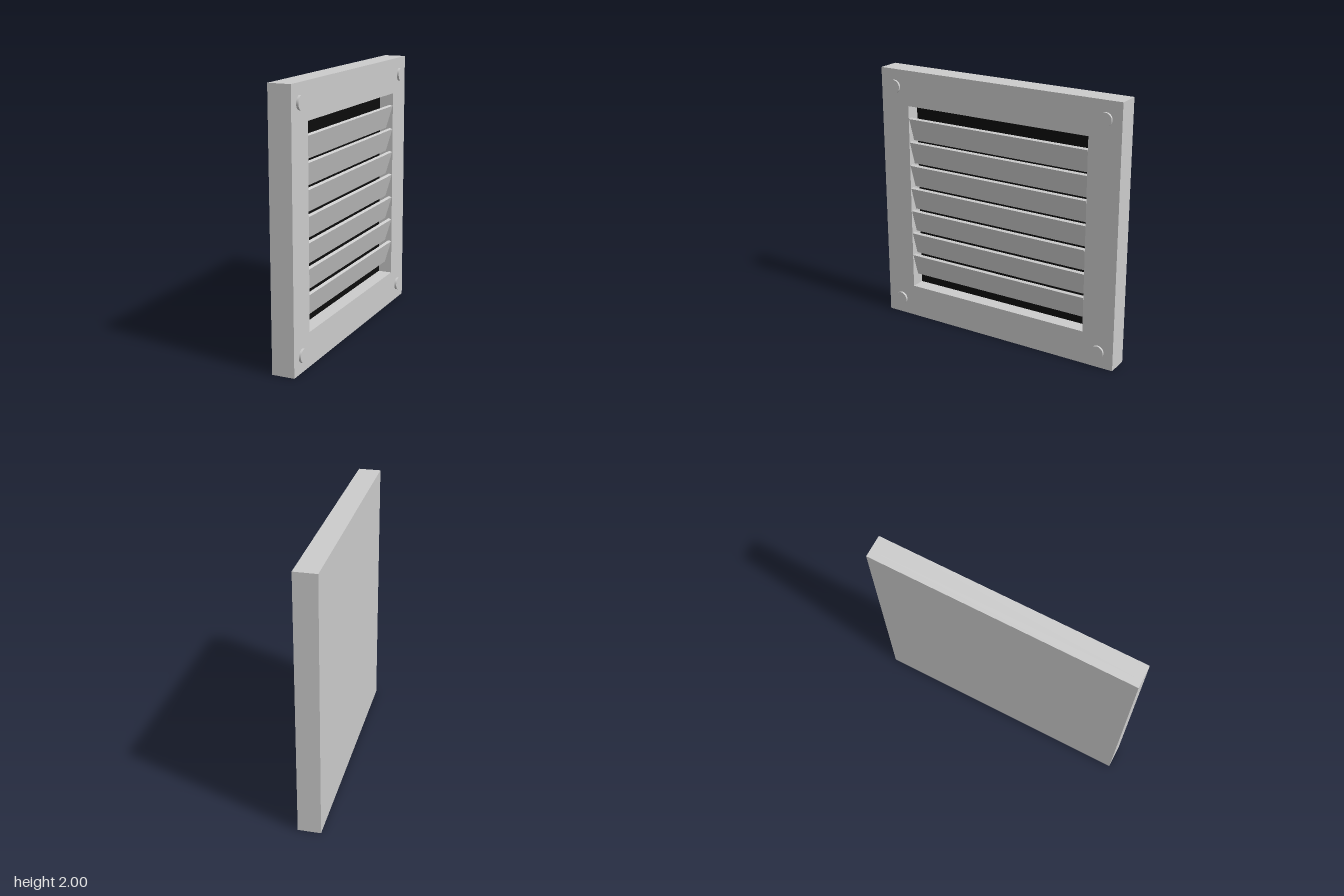
import * as THREE from 'three';

const BACK = -0.095, FRONT = 0.075, RECESS = -0.04;
const OPEN = { z0: -0.75, z1: 0.76, y0: 0.255, y1: 1.73 };

export function createModel() {
  const vent = new THREE.Group();
  vent.name = 'louverVent';
  const grey = new THREE.MeshStandardMaterial({ color: 0xcccccc });
  const black = new THREE.MeshStandardMaterial({ color: 0x0c0c0c });

  const add = (name, geometry, material, x, y, z) => {
    const mesh = new THREE.Mesh(geometry, material);
    mesh.name = name;
    mesh.position.set(x, y, z);
    vent.add(mesh);
    return mesh;
  };

  const openW = OPEN.z1 - OPEN.z0, openH = OPEN.y1 - OPEN.y0;
  const midZ = (OPEN.z0 + OPEN.z1) / 2, midY = (OPEN.y0 + OPEN.y1) / 2;

  // Square surround with the opening, drawn with shape x = -z and extruded towards +x
  const outline = new THREE.Shape([
    new THREE.Vector2(-1, 0), new THREE.Vector2(1, 0),
    new THREE.Vector2(1, 2), new THREE.Vector2(-1, 2),
  ]);
  outline.holes.push(new THREE.Path([
    new THREE.Vector2(-OPEN.z1, OPEN.y0), new THREE.Vector2(-OPEN.z1, OPEN.y1),
    new THREE.Vector2(-OPEN.z0, OPEN.y1), new THREE.Vector2(-OPEN.z0, OPEN.y0),
  ]));
  const frame = new THREE.ExtrudeGeometry(outline, { depth: FRONT - RECESS, bevelEnabled: false });
  frame.rotateY(Math.PI / 2);
  add('frame', frame, grey, RECESS, 0, 0);

  // Solid back and the dark panel seen behind the slats
  add('backPlate', new THREE.BoxGeometry(RECESS - BACK, 2, 2), grey, (BACK + RECESS) / 2, 1, 0);
  add('darkPanel', new THREE.BoxGeometry(0.006, openH, openW), black, RECESS + 0.003, midY, midZ);

  // Seven slats, top edge leaning to the front
  const slat = new THREE.BoxGeometry(0.025, 0.186, openW - 0.006);
  for (let i = 0; i < 7; i++) {
    const mesh = add('slat' + (i + 1), slat, grey, 0.035, 0.99 + (i - 3) * 0.185, midZ);
    mesh.rotation.z = -THREE.MathUtils.degToRad(17);
  }

  // Corner screw heads
  const screw = new THREE.CylinderGeometry(0.05, 0.05, 0.025, 32);
  screw.rotateZ(-Math.PI / 2);
  for (const y of [0.125, 1.867]) {
    for (const z of [-0.877, 0.88]) add('screwHead', screw, grey, 0.079, y, z);
  }

  return vent;
}
